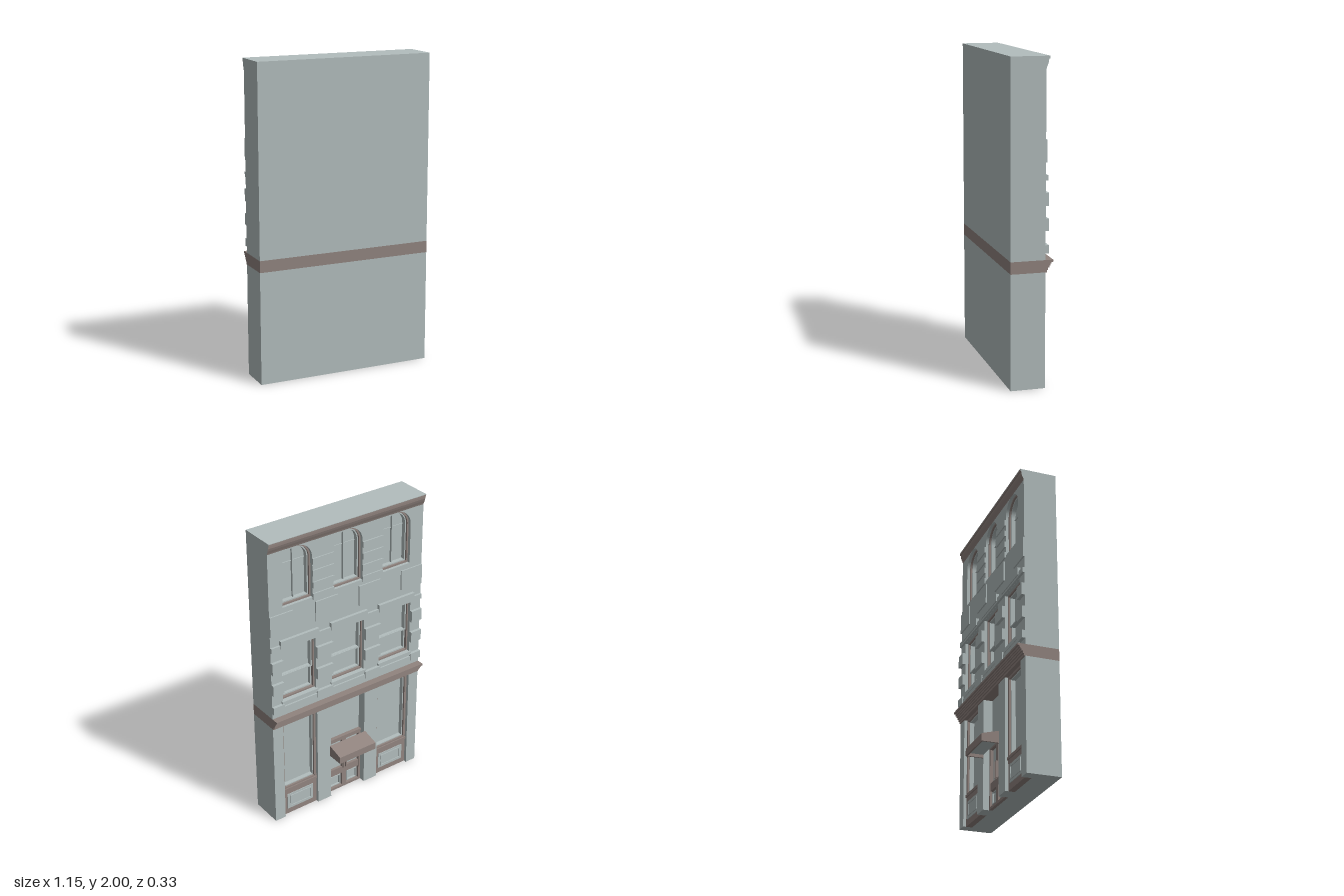
import * as THREE from 'three';

const stone = new THREE.MeshStandardMaterial({ color: 0xb2bdbd });
stone.name = 'stone grey';
const trim = new THREE.MeshStandardMaterial({ color: 0x91847f });
trim.name = 'brown trim';

const W = 1.15;        // facade width
const BACK = 0.165;    // rear wall
const CORE = 0.01;     // wall behind the openings
const FACE = -0.05;    // street face
const BAYS = [-0.37, 0, 0.37];

export function createModel() {
  const model = new THREE.Group();

  const add = (name, geometry, material) => {
    const mesh = new THREE.Mesh(geometry, material);
    mesh.name = name;
    model.add(mesh);
    return mesh;
  };

  // box given by its limits
  const box = (name, mat, x0, x1, y0, y1, z0, z1) => {
    const g = new THREE.BoxGeometry(Math.abs(x1 - x0), y1 - y0, Math.abs(z1 - z0));
    g.translate((x0 + x1) / 2, (y0 + y1) / 2, (z0 + z1) / 2);
    return add(name, g, mat);
  };

  // outline of an opening, rectangular or round-headed
  const outline = (path, cx, hw, y0, y1, arched) => {
    path.moveTo(cx - hw, y0);
    path.lineTo(cx + hw, y0);
    if (arched) {
      path.lineTo(cx + hw, y1 - hw);
      path.absarc(cx, y1 - hw, hw, 0, Math.PI, false);
    } else {
      path.lineTo(cx + hw, y1);
      path.lineTo(cx - hw, y1);
    }
    path.closePath();
    return path;
  };

  const extrudeZ = (name, shape, mat, z0, z1) => {
    const g = new THREE.ExtrudeGeometry(shape, { depth: z1 - z0, bevelEnabled: false, curveSegments: 20 });
    g.translate(0, 0, z0);
    return add(name, g, mat);
  };

  // hollow frame around an opening
  const frame = (name, mat, cx, hw, y0, y1, t, z0, z1, arched = false) => {
    const s = outline(new THREE.Shape(), cx, hw, y0, y1, arched);
    s.holes.push(outline(new THREE.Path(), cx, hw - t, y0 + t, y1 - t, arched));
    return extrudeZ(name, s, mat, z0, z1);
  };

  // profile (outward distance, height) swept along x
  const extrudeX = (name, points, width, mat) => {
    const s = new THREE.Shape(points.map(([u, y]) => new THREE.Vector2(u, y)));
    const g = new THREE.ExtrudeGeometry(s, { depth: width, bevelEnabled: false });
    g.rotateY(Math.PI / 2);
    g.translate(-width / 2, 0, 0);
    return add(name, g, mat);
  };

  // main block with the brown belt
  box('lowerCore', stone, -W / 2, W / 2, 0, 0.72, CORE, BACK);
  box('belt', trim, -W / 2, W / 2, 0.72, 0.795, FACE, BACK);
  box('upperCore', stone, -W / 2, W / 2, 0.795, 2, CORE, BACK);

  // upper facade wall with window openings
  const wall = new THREE.Shape();
  outline(wall, 0, W / 2, 0.795, 2, false);
  for (const cx of BAYS) {
    wall.holes.push(outline(new THREE.Path(), cx, 0.125, 0.9, 1.27, false));
    wall.holes.push(outline(new THREE.Path(), cx, 0.108, 1.55, 1.925, true));
  }
  extrudeZ('upperFacade', wall, stone, FACE, CORE);

  // top cornice
  extrudeX('topCornice', [
    [0.05, 1.925], [0.053, 1.935], [0.06, 1.952], [0.065, 1.968],
    [0.066, 1.982], [0.072, 1.985], [0.072, 1.998], [0.05, 1.998],
  ], W, [stone, trim]);
  box('corniceCap', stone, -W / 2, W / 2, 1.997, 2, FACE, -0.073);

  // stepped cornice over the shopfront
  const steps = [[0.72, 0.058], [0.735, 0.066], [0.748, 0.074], [0.76, 0.081], [0.771, 0.088], [0.782, 0.098]];
  const stepPoints = [[0.05, 0.72]];
  steps.forEach(([y, u], i) => {
    stepPoints.push([u, y], [u, i < steps.length - 1 ? steps[i + 1][0] : 0.795]);
  });
  stepPoints.push([0.05, 0.795]);
  extrudeX('shopCornice', stepPoints, W, trim);

  // windows of the two upper floors
  for (const cx of BAYS) {
    frame('archedFrame', trim, cx, 0.108, 1.55, 1.925, 0.011, -0.03, CORE, true);
    frame('archedSash', stone, cx, 0.097, 1.561, 1.914, 0.008, -0.018, CORE, true);
    box('archedMullion', stone, cx - 0.004, cx + 0.004, 1.561, 1.912, CORE, -0.005);
    box('archedTransom', stone, cx - 0.095, cx + 0.095, 1.803, 1.809, CORE, 0.004);

    frame('windowFrame', trim, cx, 0.125, 0.9, 1.27, 0.01, -0.03, CORE);
    frame('upperSash', stone, cx, 0.115, 1.05, 1.26, 0.009, -0.02, CORE);
    frame('lowerSash', stone, cx, 0.115, 0.91, 1.06, 0.009, -0.012, CORE);

    // lintel and apron
    box('lintel', stone, cx - 0.14, cx + 0.14, 1.285, 1.335, FACE, -0.07);
    box('windowSill', stone, cx - 0.135, cx + 0.135, 0.872, 0.9, FACE, -0.062);
    box('apron', stone, cx - 0.13, cx + 0.13, 0.83, 0.865, FACE, -0.064);
  }
  box('lintelCourse', stone, -W / 2, W / 2, 1.272, 1.305, FACE, -0.064);

  // pier stonework, mirrored left and right
  for (const s of [-1, 1]) {
    for (const [a, b] of [[0.495, 0.575], [0.125, 0.245]]) {
      box('quoin', stone, s * a, s * b, 1.12, 1.2, FACE, -0.07);
      box('quoin', stone, s * a, s * b, 0.97, 1.045, FACE, -0.07);
      box('pierBase', stone, s * a, s * b, 0.835, 0.885, FACE, -0.07);
    }
    for (const [a, b] of [[0.41, 0.575], [0.08, 0.245]]) {
      box('wallBlock', stone, s * a, s * b, 1.38, 1.515, FACE, -0.059);
    }
    for (const y of [1.535, 1.612, 1.69, 1.768]) {
      box('rusticStrip', stone, s * 0.108, s * 0.262, y, y + 0.04, FACE, -0.058);
    }
  }

  // shopfronts between the ground floor pilasters
  for (const s of [-1, 1]) {
    box('outerPilaster', stone, s * 0.5, s * 0.575, 0, 0.72, CORE, FACE);
    box('doorPilaster', stone, s * 0.135, s * 0.24, 0, 0.72, CORE, FACE);
    const cx = s * 0.37;
    frame('shopFrame', trim, cx, 0.13, 0.2, 0.72, 0.016, -0.03, CORE);
    frame('shopBead', stone, cx, 0.114, 0.216, 0.704, 0.007, -0.018, CORE);
    box('bulkhead', trim, cx - 0.13, cx + 0.13, 0, 0.2, CORE, -0.03);
    box('shopSill', trim, cx - 0.13, cx + 0.13, 0.19, 0.205, CORE, -0.038);
    box('bulkheadPanel', stone, cx - 0.1, cx + 0.1, 0.04, 0.155, -0.03, -0.034);
    frame('panelMoulding', stone, cx, 0.082, 0.055, 0.14, 0.007, -0.039, -0.034);

    // door leaf
    const x = s * 0.0675;
    frame('doorLeaf', trim, x, 0.0675, 0, 0.4, 0.016, -0.01, CORE);
    box('lockRail', trim, s * 0.002, s * 0.135, 0.115, 0.165, CORE, -0.009);
    frame('doorPanel', stone, x, 0.04, 0.027, 0.104, 0.006, -0.002, CORE);
    box('doorHandle', trim, s * 0.008, s * 0.014, 0.16, 0.27, -0.01, -0.022);
  }
  box('doorTransom', trim, -0.135, 0.135, 0.4, 0.415, CORE, -0.015);

  // awning: hollow canopy with a pale soffit
  const profile = [[0.05, 0.332], [0.162, 0.332], [0.162, 0.38], [0.05, 0.41]];
  for (const s of [-1, 1]) {
    extrudeX('awningCheek', profile, 0.01, trim).position.x = s * 0.138;
  }
  extrudeX('awningTop', [[0.05, 0.395], [0.152, 0.368], [0.152, 0.332], [0.162, 0.332], [0.162, 0.38], [0.05, 0.41]], 0.27, trim);
  box('awningSoffit', stone, -0.133, 0.133, 0.352, 0.358, FACE, -0.153);

  return model;
}
